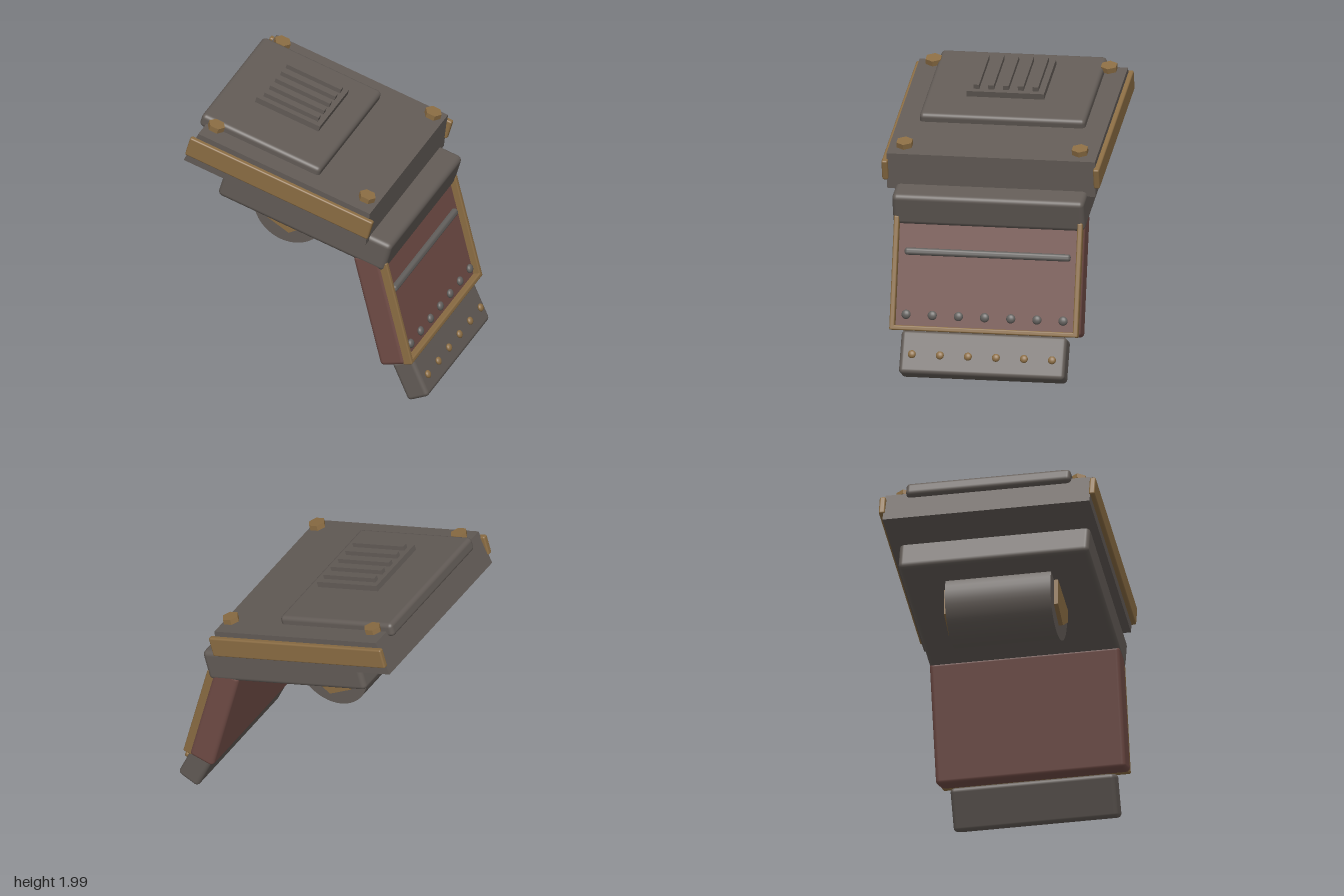
import * as THREE from 'three';
import { RoundedBoxGeometry } from 'three/addons/geometries/RoundedBoxGeometry.js';

const mat = (name, color) => {
  const m = new THREE.MeshStandardMaterial({ color });
  m.name = name;
  return m;
};

export function createModel() {
  const grey = mat('warm grey metal', 0x625b56);
  const steel = mat('steel', 0x625f5c);
  const brass = mat('aged brass', 0x8a6c43);
  const red = mat('oxblood panel', 0x6f4b45);

  const model = new THREE.Group();
  model.name = 'hingedVisor';

  const section = (name, x, y, tilt) => {
    const g = new THREE.Group();
    g.name = name;
    g.position.set(x, y, 0);
    g.rotation.z = tilt;
    model.add(g);
    return g;
  };
  const add = (parent, name, geometry, material, x = 0, y = 0, z = 0) => {
    const m = new THREE.Mesh(geometry, material);
    m.name = name;
    m.position.set(x, y, z);
    parent.add(m);
    return m;
  };
  // Rounded box given by its x, y and z limits
  const block = (parent, name, material, [x0, x1], [y0, y1], [z0, z1], r = 0.03) =>
    add(parent, name, new RoundedBoxGeometry(x1 - x0, y1 - y0, z1 - z0, 3, r), material,
      (x0 + x1) / 2, (y0 + y1) / 2, (z0 + z1) / 2);
  const hexPrism = (r, h) => {
    const g = new THREE.CylinderGeometry(r, r, h, 6).toNonIndexed();
    g.computeVertexNormals();
    return g;
  };
  // Row of flattened domes along z
  const rivets = (parent, name, material, count, spacing, r, x, y) => {
    for (let i = 0; i < count; i++) {
      const m = add(parent, name, new THREE.SphereGeometry(r, 16, 12), material,
        x, y, (i - (count - 1) / 2) * spacing);
      m.scale.x = 0.65;
    }
  };

  // Roof: tapered plate with raised panel, vent, side bars and bolts
  const roof = section('roof', -0.17, 1.578, -0.28);
  const profile = new THREE.Shape([
    new THREE.Vector2(-0.697, -0.125), new THREE.Vector2(0.697, -0.125),
    new THREE.Vector2(0.657, 0.125), new THREE.Vector2(-0.657, 0.125),
  ]);
  add(roof, 'roofPlate',
    new THREE.ExtrudeGeometry(profile, { depth: 1.45, bevelEnabled: false }), grey, 0, 0, -0.725);
  block(roof, 'raisedPanel', grey, [-0.707, 0.203], [0.08, 0.182], [-0.576, 0.576]);
  block(roof, 'underBox', grey, [-0.415, 0.862], [-0.318, -0.09], [-0.667, 0.667], 0.035);

  add(roof, 'ventPlate', new THREE.BoxGeometry(0.486, 0.042, 0.54), grey, -0.203, 0.267, 0);
  for (let i = -2; i <= 2; i++) {
    add(roof, 'ventBar', new THREE.BoxGeometry(0.416, 0.036, 0.04), grey, -0.204, 0.302, i * 0.103);
  }

  for (const s of [-1, 1]) {
    const z = s > 0 ? [0.715, 0.757] : [-0.757, -0.715];
    block(roof, 'sideBar', brass, [-0.697, 0.702], [-0.06, 0.086], z, 0.012);
    for (const x of [-0.578, 0.578]) {
      add(roof, 'hexBolt', hexPrism(0.06, 0.038), brass, x, 0.166, s * 0.61).rotation.y = Math.PI / 2;
    }
  }

  // Roller under the roof, with a hexagonal core showing at both ends
  const roller = section('roller', -0.23, 1.217, 0);
  add(roller, 'rollerDrum', new THREE.CylinderGeometry(0.27, 0.27, 0.74, 48), grey).rotation.x = Math.PI / 2;
  add(roller, 'rollerCore', hexPrism(0.182, 0.8), brass).rotation.x = Math.PI / 2;

  // Hanging panel with brass frame, rod and rivets
  const panel = section('panel', 0, 0, 0.245);
  block(panel, 'panelBody', red, [0.602, 0.792], [0.148, 1.0], [-0.665, 0.665]);
  for (const z of [[-0.656, -0.62], [0.62, 0.656]]) {
    block(panel, 'frameSide', brass, [0.775, 0.842], [0.146, 0.93], z, 0.01);
  }
  block(panel, 'frameBottom', brass, [0.775, 0.842], [0.146, 0.18], [-0.656, 0.656], 0.01);
  block(panel, 'panelRod', steel, [0.775, 0.825], [0.664, 0.714], [-0.577, 0.577], 0.02);
  rivets(panel, 'panelRivet', steel, 7, 0.182, 0.032, 0.815, 0.256);

  // Lower flap with brass rivets
  const flap = section('flap', 0.732, 0.17, 0.42);
  block(flap, 'flapBody', grey, [-0.085, 0.085], [-0.151, 0.151], [-0.576, 0.576]);
  rivets(flap, 'flapRivet', brass, 6, 0.195, 0.028, 0.1, -0.02);

  return model;
}
